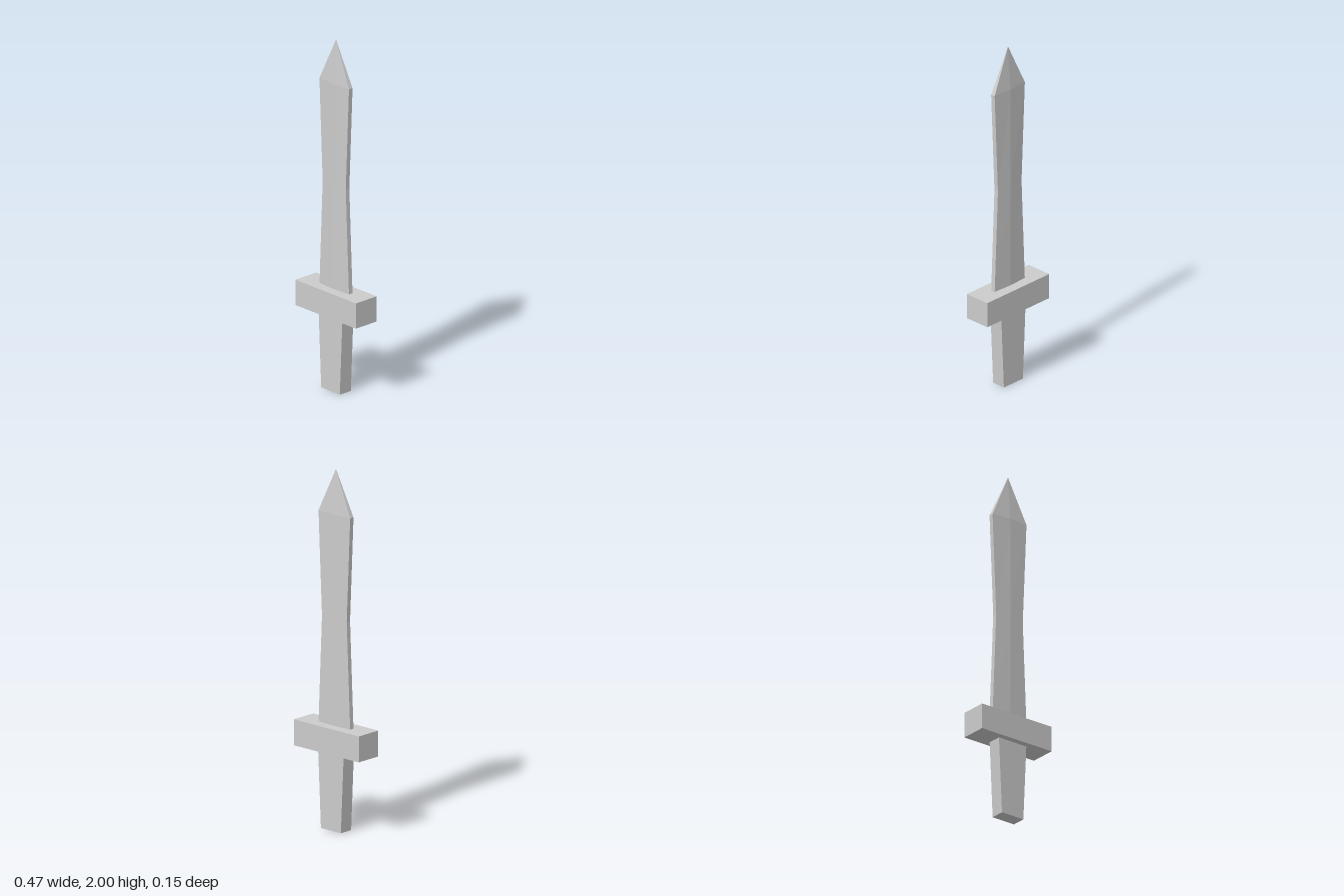
import * as THREE from 'three';

const material = new THREE.MeshStandardMaterial({ color: 0xcccccc, flatShading: true });

function addPart(group, name, geometry, y = 0) {
  const mesh = new THREE.Mesh(geometry, material);
  mesh.name = name;
  mesh.position.y = y;
  group.add(mesh);
}

// Six-sided blade: a shallow ridge down each face and blunt edges, closing to a point
function bladeGeometry() {
  const rings = [[0.57, 0.115], [1.17, 0.09], [1.75, 0.115]]; // [height, half width]
  const edge = 0.013, ridge = 0.02, n = 6;
  const positions = [], index = [];
  for (const [y, w] of rings) {
    for (const [x, z] of [[w, edge], [w, -edge], [0, -ridge], [-w, -edge], [-w, edge], [0, ridge]]) {
      positions.push(x, y, z);
    }
  }
  const tip = rings.length * n;
  positions.push(0, 2, 0, 0, rings[0][0], 0);
  for (let i = 0; i < n; i++) {
    const j = (i + 1) % n;
    for (let r = 0; r < rings.length - 1; r++) {
      const a = r * n + i, b = r * n + j;
      index.push(a, b, b + n, a, b + n, a + n);
    }
    index.push(tip - n + i, tip - n + j, tip); // point
    index.push(j, i, tip + 1); // base
  }
  const indexed = new THREE.BufferGeometry();
  indexed.setAttribute('position', new THREE.Float32BufferAttribute(positions, 3));
  indexed.setIndex(index);
  const geometry = indexed.toNonIndexed();
  geometry.computeVertexNormals();
  return geometry;
}

// Grip: a box narrowing in width towards the bottom
function gripGeometry() {
  const height = 0.44;
  const geometry = new THREE.BoxGeometry(0.186, height, 0.08);
  const p = geometry.attributes.position;
  for (let i = 0; i < p.count; i++) {
    if (p.getY(i) < 0) p.setX(i, p.getX(i) * 0.78);
  }
  geometry.translate(0, height / 2, 0);
  geometry.computeVertexNormals();
  return geometry;
}

export function createModel() {
  const group = new THREE.Group();
  group.name = 'sword';
  addPart(group, 'blade', bladeGeometry());
  addPart(group, 'guard', new THREE.BoxGeometry(0.472, 0.144, 0.152), 0.506);
  addPart(group, 'grip', gripGeometry());
  return group;
}
